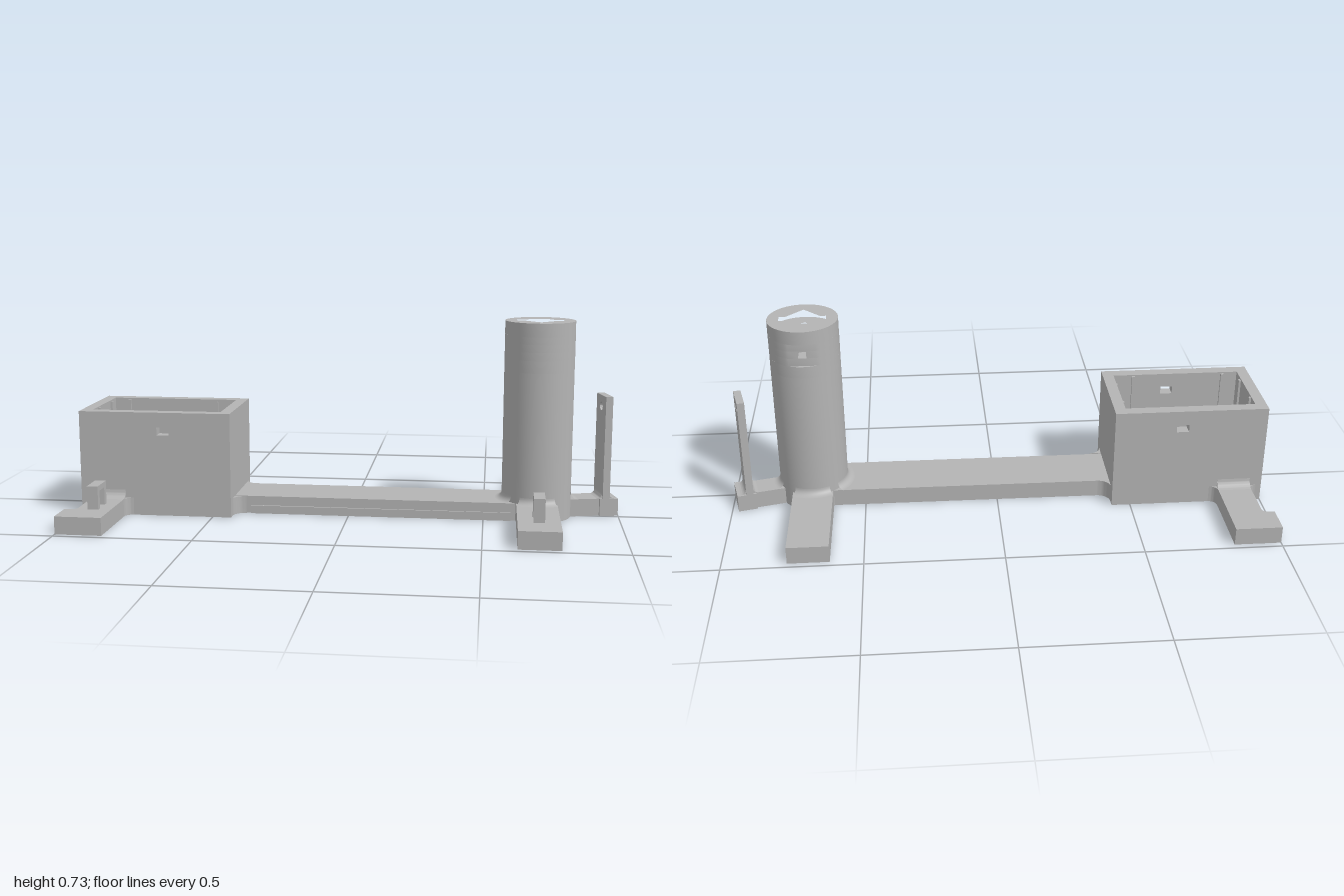
import * as THREE from 'three';
import { toCreasedNormals } from 'three/addons/utils/BufferGeometryUtils.js';

const plastic = new THREE.MeshStandardMaterial({ color: 0xb4b4b4 });
plastic.name = 'grey plastic';
const plasticOpen = plastic.clone();
plasticOpen.side = THREE.DoubleSide;
const T = 0.065; // base thickness
const TX = 0.695, TR = 0.128; // tower centre and radius

export function createModel() {
  const model = new THREE.Group();

  const add = (name, geo, parent = model, mat = plastic) => {
    const mesh = new THREE.Mesh(geo, mat);
    mesh.name = name;
    parent.add(mesh);
    return mesh;
  };
  // Box given by its limits
  const box = (name, x0, x1, y0, y1, z0, z1, parent = model) => {
    const g = new THREE.BoxGeometry(x1 - x0, y1 - y0, z1 - z0);
    g.translate((x0 + x1) / 2, (y0 + y1) / 2, (z0 + z1) / 2);
    return add(name, g, parent);
  };
  const extrude = (shape, depth) => toCreasedNormals(
    new THREE.ExtrudeGeometry(shape, { depth, bevelEnabled: false, curveSegments: 24 }), 0.5);
  // Outline in plan [x, z], raised from y0 to y1
  const path = (pts) => pts.map(([x, z]) => new THREE.Vector2(x, -z));
  const slab = (name, pts, y0, y1, holes = []) => {
    const shape = new THREE.Shape(path(pts));
    holes.forEach((h) => shape.holes.push(new THREE.Path(path(h))));
    const g = extrude(shape, y1 - y0);
    g.rotateX(-Math.PI / 2);
    g.translate(0, y0, 0);
    return add(name, g);
  };
  const arc = (cx, cz, r, a0, a1, n = 48) => Array.from({ length: n + 1 }, (_, i) => {
    const a = a0 + (a1 - a0) * i / n;
    return [cx + r * Math.cos(a), cz + r * Math.sin(a)];
  });
  const circle = (cx, cz, r) => arc(cx, cz, r, 0, Math.PI * 2 * 47 / 48, 47);
  const rect = (x0, x1, z0, z1) => [[x0, z0], [x1, z0], [x1, z1], [x0, z1]];
  // Concave corner outline; sx and sz say which way it opens
  const cove = (x, z, r, sx, sz) => [[x, z], ...arc(0, 0, r, Math.PI * 1.5, Math.PI, 10)
    .map(([a, b]) => [x + sx * (r + a), z + sz * (r + b)])];

  // ---- Open box with a slot under its outer end ----
  for (const s of [1, -1]) {
    const wall = new THREE.Shape([[-1, 0], [-0.43, 0], [-0.43, 0.39], [-1, 0.39]]
      .map((p) => new THREE.Vector2(...p)));
    wall.holes.push(new THREE.Path([[-0.706, 0.305], [-0.66, 0.305], [-0.66, 0.335], [-0.706, 0.335]]
      .map((p) => new THREE.Vector2(...p))));
    const g = extrude(wall, 0.042);
    g.translate(0, 0, s > 0 ? 0.138 : -0.18);
    add('boxSideWall', g);
    for (const x of [-0.9, -0.55]) box('boxRib', x - 0.006, x + 0.006, T, 0.385, s * 0.135 - 0.006, s * 0.135 + 0.006);
    for (const x of [-0.956, -0.472]) box('boxRib', x - 0.006, x + 0.006, 0.2, 0.385, s * 0.075 - 0.006, s * 0.075 + 0.006);
  }
  box('boxInnerEndWall', -0.472, -0.43, 0, 0.39, -0.14, 0.14);
  box('boxOuterEndWall', -1, -0.958, 0.2, 0.39, -0.14, 0.14);
  box('slotRoof', -0.96, -0.8, 0.2, 0.23, -0.14, 0.14);
  box('slotBackWall', -0.825, -0.8, 0, 0.21, -0.14, 0.14);
  const floorOutline = rect(-0.81, -0.46, -0.14, 0.14);
  const floorWindow = rect(-0.8, -0.652, -0.125, 0.122);
  slab('boxFloorLower', floorOutline, 0, 0.03, [floorWindow]);
  slab('boxFloorUpper', floorOutline, 0.03, T, [floorWindow, circle(-0.575, 0, 0.04)]);

  // ---- Feet beside the box, with a notch in the outer edge ----
  for (const s of [1, -1]) {
    slab('boxFoot', [[-0.83, 0.17], [-0.83, 0.478], [-1, 0.478], [-1, 0.37],
      ...arc(-0.975, 0.35, 0.02, Math.PI / 2, 0, 6), [-0.955, 0.17]]
      .map(([x, z]) => [x, s * z]), 0, T);
    slab('footCorner', cove(-0.83, s * 0.18, 0.03, 1, s), 0, T);
    slab('footCorner', cove(-0.955, s * 0.18, 0.025, -1, s), 0, T);
    // Curved joint between foot top and box wall
    const g = extrude(new THREE.Shape(cove(0, 0, 0.03, s, 1).map((p) => new THREE.Vector2(...p))), 0.125);
    g.rotateY(-Math.PI / 2);
    g.translate(-0.83, T, s * 0.18);
    add('footFillet', g);
    slab('armCorner', cove(-0.43, s * 0.106, 0.045, 1, s), 0, T);
  }

  // ---- Long arm, ending on the tower ----
  const a = Math.asin(0.102 / 0.115);
  slab('arm', [[-0.44, -0.106], ...arc(TX, 0, 0.115, Math.PI + a, Math.PI - a, 24), [-0.44, 0.1]], 0, T);
  box('armSideLedge', -0.37, 0.6, 0, 0.03, 0.09, 0.108);

  // ---- Tower feet and wire loops ----
  for (const s of [1, -1]) {
    box('towerFoot', 0.62, 0.77, 0, T, s > 0 ? 0.1 : -0.478, s > 0 ? 0.478 : -0.1);
  }
  for (const x of [-0.895, TX]) {
    const loop = new THREE.Group();
    loop.name = 'wireLoop';
    model.add(loop);
    box('loopLeg', x - 0.02, x + 0.02, T, 0.13, 0.272, 0.293, loop);
    box('loopLeg', x - 0.02, x + 0.02, T, 0.13, 0.346, 0.367, loop);
    box('loopTop', x - 0.02, x + 0.02, 0.13, 0.15, 0.272, 0.367, loop);
  }

  // ---- Tower: wide bore below, keyed opening above, flat pocket at the back ----
  const outer = circle(TX, 0, TR);
  const key = [...arc(0, 0, 0.055, Math.PI + 0.37, Math.PI * 2 - 0.37, 20),
    [0.085, -0.02], [0.085, 0.015], [0.062, 0.015], [0, 0.078], [-0.062, 0.015], [-0.085, 0.015], [-0.085, -0.02]]
    .map(([x, z]) => [x + TX, z]);
  slab('towerBody', outer, 0, 0.55, [circle(TX, 0, 0.096)]);
  slab('towerKeyedPart', outer, 0.55, 0.595, [key]);
  slab('towerTop', outer, 0.68, 0.73, [key]);
  const half = Math.acos(0.118 / TR);
  const flat = arc(TX, 0, TR, -Math.PI / 2 + half, Math.PI * 1.5 - half, 44);
  const notched = [...flat, [TX - 0.015, -0.118], [TX - 0.015, -0.065], [TX + 0.015, -0.065], [TX + 0.015, -0.118]];
  slab('towerPocket', flat, 0.595, 0.625, [key]);
  slab('towerPocketHole', notched, 0.625, 0.653, [key]);
  slab('towerPocket', flat, 0.653, 0.68, [key]);

  // Curved joints where the tower meets arm and feet
  const profile = arc(TR + 0.025, 0.025, 0.025, Math.PI, Math.PI * 1.5, 8).map((p) => new THREE.Vector2(...p));
  for (const [mid, spread] of [[0, 0.52], [Math.PI, 0.52], [-Math.PI / 2, 0.75], [Math.PI / 2 + 0.23, 0.3]]) {
    const g = new THREE.LatheGeometry(profile, 16, mid - spread, spread * 2);
    g.translate(TX, T, 0);
    add('towerFillet', g, model, plasticOpen);
  }

  // ---- Angled bracket with an upright, drilled plate ----
  const bracket = new THREE.Group();
  bracket.name = 'bracket';
  bracket.position.x = TX;
  bracket.rotation.y = 0.23;
  model.add(bracket);
  box('bracketArm', 0.11, 0.235, 0, T, -0.045, 0.045, bracket);
  box('bracketEnd', 0.23, 0.3, 0, T, -0.054, 0.054, bracket);
  const plate = new THREE.Shape([[-0.054, 0.05], [0.054, 0.05], [0.054, 0.45], [-0.054, 0.45]]
    .map((p) => new THREE.Vector2(...p)));
  plate.holes.push(new THREE.Path().absarc(0, 0.408, 0.016, 0, Math.PI * 2, true));
  const plateGeo = extrude(plate, 0.027);
  plateGeo.rotateY(Math.PI / 2);
  plateGeo.translate(0.24, 0, 0);
  add('bracketPlate', plateGeo, bracket);
  for (const [x, s] of [[0.24, -1], [0.267, 1]]) {
    const g = extrude(new THREE.Shape(cove(x, T, 0.02, s, 1).map((p) => new THREE.Vector2(...p))), 0.09);
    g.translate(0, 0, -0.045);
    add('plateFillet', g, bracket);
  }
  return model;
}
